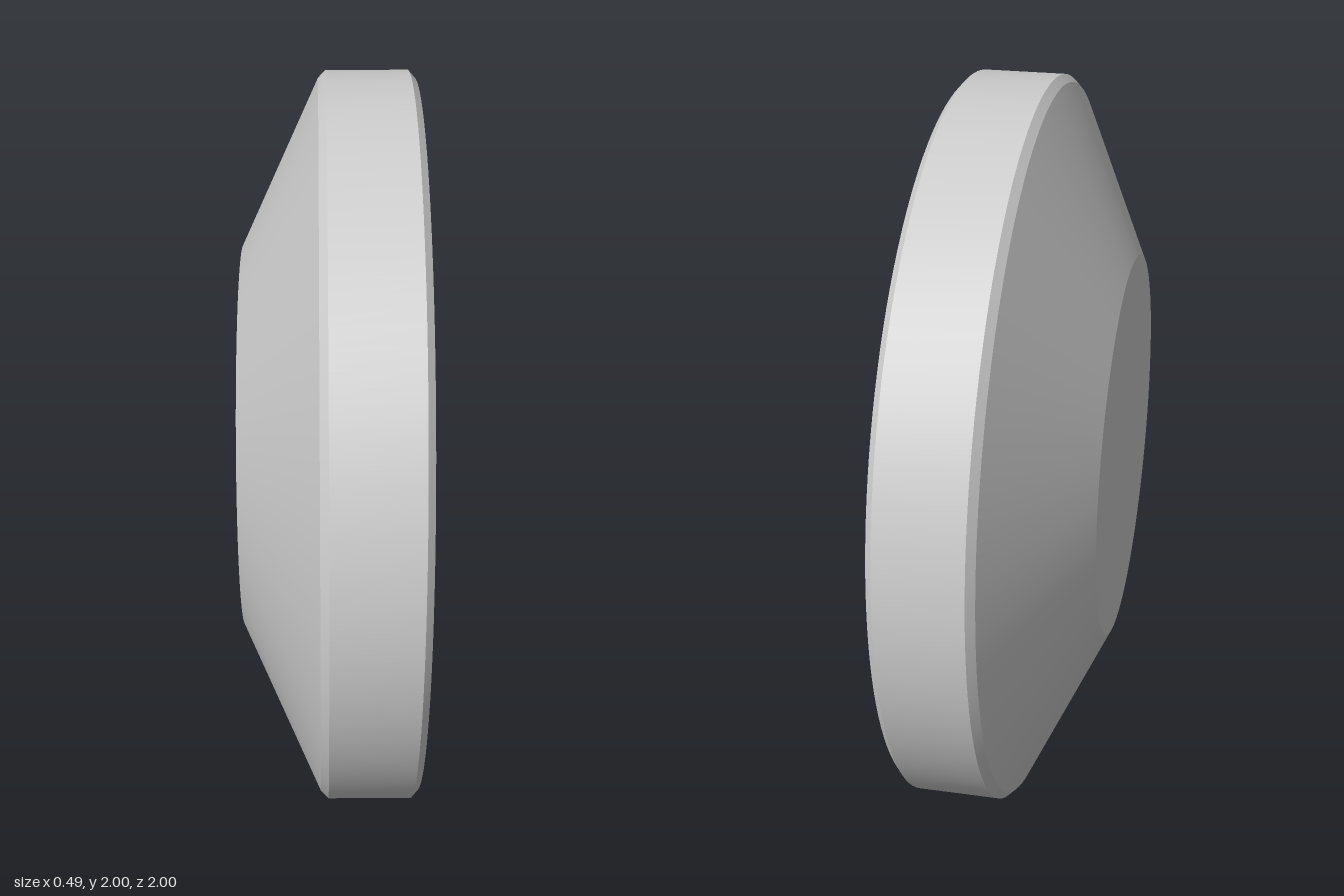
import * as THREE from 'three';
import { toCreasedNormals } from 'three/addons/utils/BufferGeometryUtils.js';

export function createModel() {
  const model = new THREE.Group();
  model.name = 'disc';

  // Profile as [radius, position along the axis]
  const profile = [
    [0, -0.24], [0.53, -0.24],    // small flat face
    [0.98, -0.032], [1, -0.012],  // cone, then bevel
    [1, 0.207], [0.98, 0.225],    // rim, then bevel
    [0, 0.225],                   // large flat face
  ].map(([r, a]) => new THREE.Vector2(r, a));

  // Turned disc with its axis laid along x
  const turned = new THREE.LatheGeometry(profile, 128).rotateZ(-Math.PI / 2);
  const body = new THREE.Mesh(
    toCreasedNormals(turned, 0.2),
    new THREE.MeshStandardMaterial({ color: 0xcccccc })
  );
  body.name = 'taperedDisc';
  body.position.y = 1;
  body.rotation.y = THREE.MathUtils.degToRad(1); // slight turn
  model.add(body);
  return model;
}
